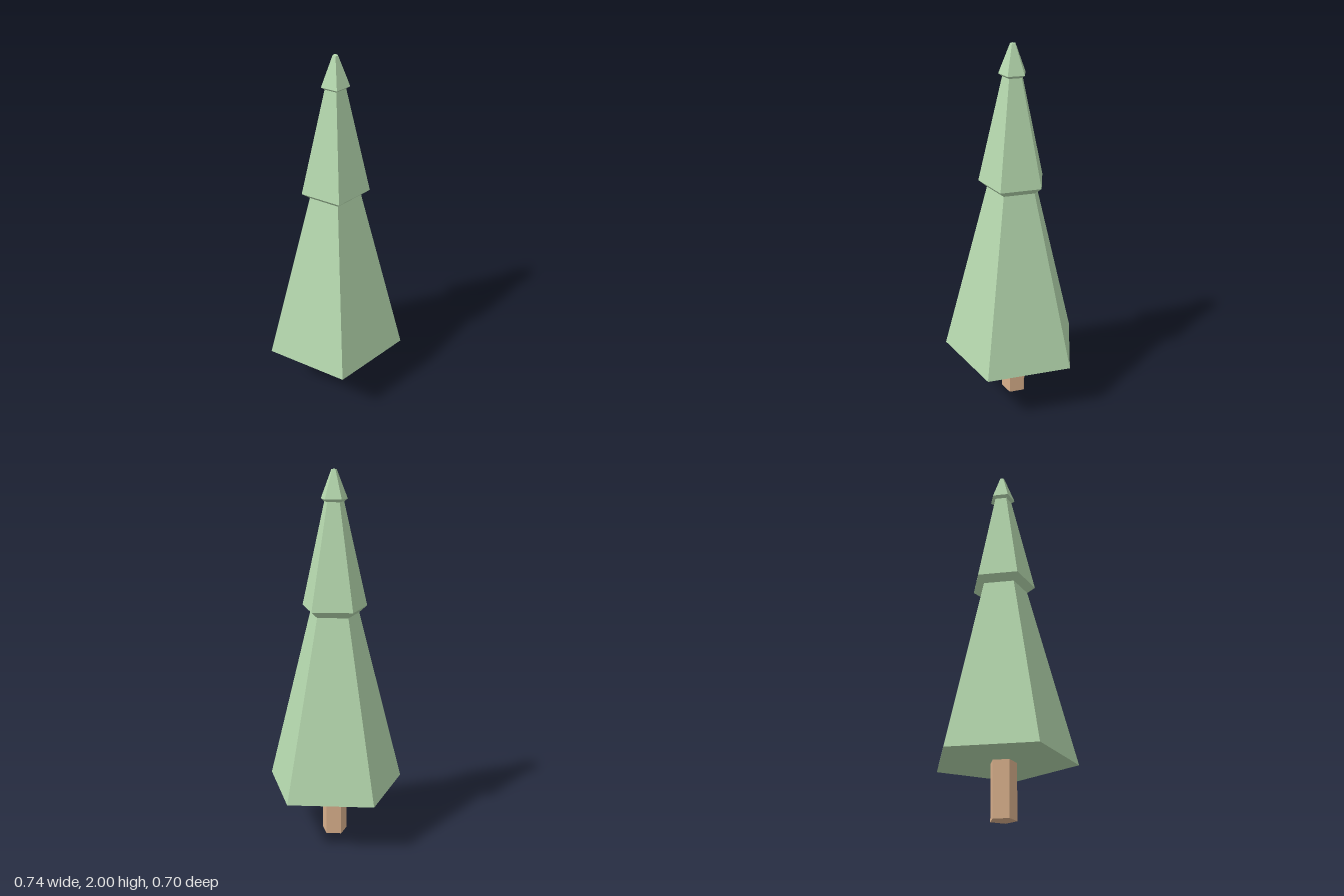
import * as THREE from 'three';

const SIDES = 5;

// Five-sided solid from a [radius, height] profile, one corner pointing to the back
function pentagonal(name, color, profile) {
  const points = profile.map(([r, y]) => new THREE.Vector2(r, y));
  const mesh = new THREE.Mesh(
    new THREE.LatheGeometry(points, SIDES, Math.PI),
    new THREE.MeshStandardMaterial({ color, flatShading: true })
  );
  mesh.name = name;
  return mesh;
}

export function createModel() {
  const tree = new THREE.Group();
  tree.name = 'pineTree';

  // Trunk
  tree.add(pentagonal('trunk', 0xd9b08c, [[0, 0], [0.071, 0], [0.071, 0.29], [0, 0.29]]));

  // Three stacked tiers of foliage, each flaring out from the neck below it
  tree.add(pentagonal('foliage', 0xb5d8ae, [
    [0, 0.29], [0.389, 0.29], // lower tier
    [0.138, 1.255], [0.182, 1.29], // middle tier
    [0.054, 1.838], [0.073, 1.852], // top tier
    [0.014, 2], [0, 2]
  ]));

  // Centre the pentagon's depth on z = 0
  tree.children.forEach((part) => { part.position.z = 0.037; });
  return tree;
}
